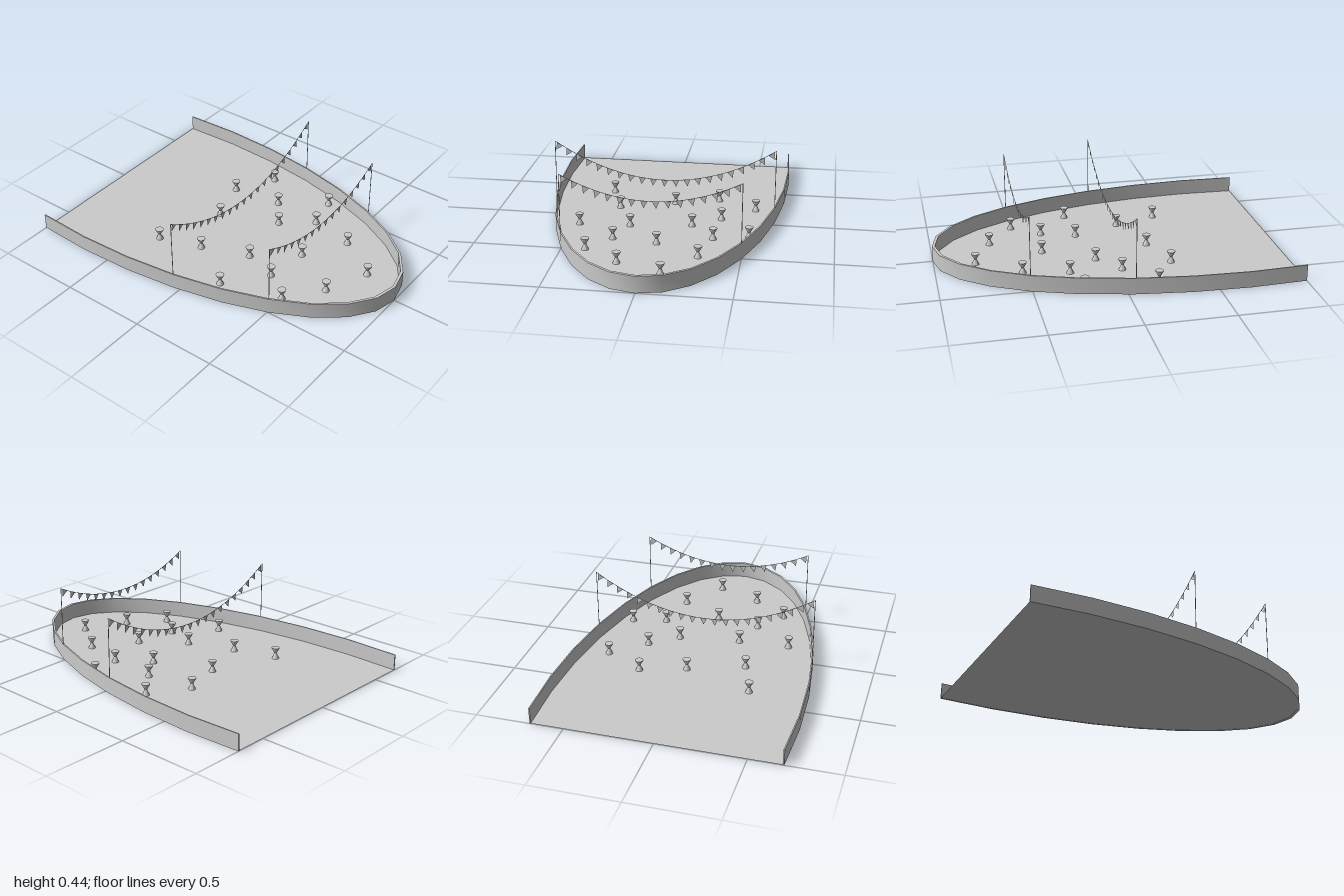
import * as THREE from 'three';
import { toCreasedNormals } from 'three/addons/utils/BufferGeometryUtils.js';

const RX = 0.705, RZ = 1.6735, CZ = -0.6735, WALL_H = 0.095, POLE_TOP = 0.44;
const mat = new THREE.MeshStandardMaterial({ color: 0xcccccc });
const thinMat = new THREE.MeshStandardMaterial({ color: 0xcccccc, side: THREE.DoubleSide });

function add(parent, name, geometry, material = mat) {
  const mesh = new THREE.Mesh(geometry, material);
  mesh.name = name;
  parent.add(mesh);
  return mesh;
}

// Faceted elliptical bow outline, cut off straight at the back (shape y = -z)
function outline(scale) {
  const pts = [];
  for (let k = -9; k <= 9; k++) {
    const a = k * Math.PI / 16;
    const z = Math.max(-1, CZ + RZ * scale * Math.cos(a));
    pts.push(new THREE.Vector2(RX * scale * Math.sin(a), -z));
  }
  pts[0].y = pts[18].y = 1;
  return pts;
}

// A sagging line of flags strung between two poles
function bunting(halfWidth, z, lowY, count) {
  const g = new THREE.Group();
  g.name = 'bunting';
  const poleH = POLE_TOP - WALL_H;
  for (const s of [-1, 1]) {
    add(g, 'pole', new THREE.CylinderGeometry(0.002, 0.002, poleH, 8))
      .position.set(s * halfWidth, WALL_H + poleH / 2, 0);
  }

  const pts = [];
  for (let i = 0; i <= 24; i++) {
    const t = i / 12 - 1;
    pts.push(new THREE.Vector3(t * halfWidth, lowY + (POLE_TOP - lowY) * t * t, 0));
  }
  const curve = new THREE.CatmullRomCurve3(pts);
  add(g, 'rope', new THREE.TubeGeometry(curve, 40, 0.0015, 6));

  // Flags spaced evenly along the rope and turned with it
  const flag = new THREE.ShapeGeometry(new THREE.Shape([
    new THREE.Vector2(-0.02, 0), new THREE.Vector2(0, -0.042), new THREE.Vector2(0.02, 0),
  ]));
  for (let i = 0; i < count; i++) {
    const u = (i + 0.5) / count;
    const t = curve.getTangentAt(u);
    const m = add(g, 'flag', flag, thinMat);
    m.position.copy(curve.getPointAt(u));
    m.rotation.z = Math.atan2(t.y, t.x);
  }
  g.position.z = z;
  return g;
}

export function createModel() {
  const model = new THREE.Group();
  model.name = 'bowDeck';

  // Deck floor
  const floor = new THREE.ShapeGeometry(new THREE.Shape(outline(0.992)));
  floor.rotateX(-Math.PI / 2);
  add(model, 'floor', floor, thinMat).position.y = 0.002;

  // Thin bulwark around the bow, open at the back
  const ring = new THREE.Shape([...outline(1), ...outline(0.99).reverse()]);
  const wall = new THREE.ExtrudeGeometry(ring, { depth: WALL_H, bevelEnabled: false });
  wall.rotateX(-Math.PI / 2);
  add(model, 'bulwark', toCreasedNormals(wall, 0.6));

  // Two flag lines across the deck
  model.add(bunting(0.5, 0.51, 0.31, 16));
  model.add(bunting(0.648, -0.04, 0.23, 21));

  // Hourglass standing tables
  const profile = [[0, 0], [0.021, 0], [0.007, 0.034], [0.024, 0.064], [0.024, 0.067], [0, 0.067]]
    .map(([x, y]) => new THREE.Vector2(x, y));
  const table = toCreasedNormals(new THREE.LatheGeometry(profile, 20), 0.6);
  const spots = [
    [-0.36, -0.39], [0.3, -0.33], [0.04, -0.25], [0.53, -0.2], [-0.28, -0.14], [0.34, -0.035],
    [0.18, 0.085], [-0.47, 0.15], [-0.175, 0.135], [0.52, 0.215], [0.32, 0.26], [-0.24, 0.335],
    [0.015, 0.37], [-0.365, 0.5], [0.265, 0.52], [-0.16, 0.655], [0.095, 0.765],
  ];
  for (const [x, z] of spots) add(model, 'standingTable', table).position.set(x, 0.002, z);

  return model;
}
